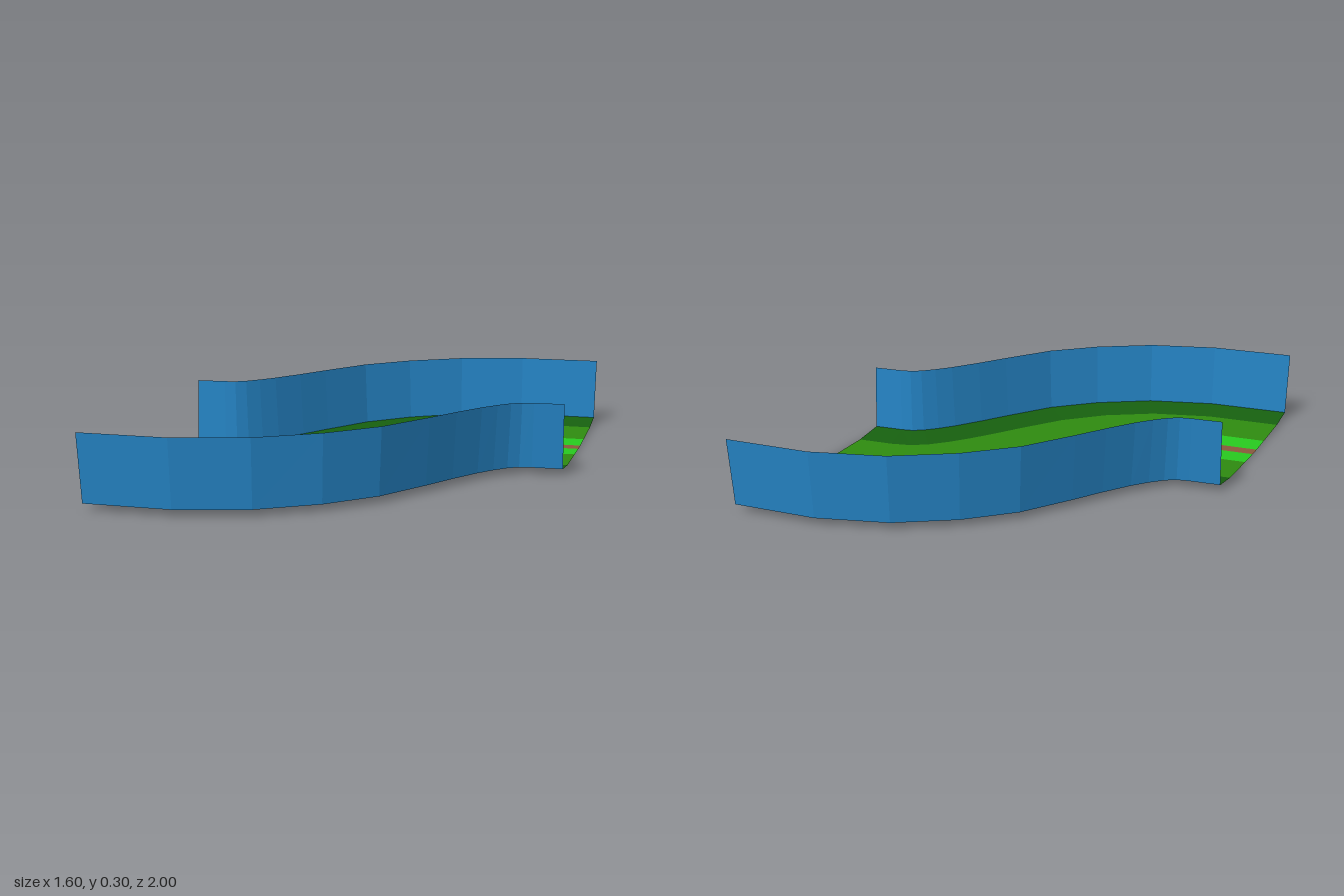
import * as THREE from 'three';

// Stations along the S-bend: centre x, z and back edge x, z.
// The front edge is the back edge turned half a circle about the origin.
const stations = [
  [-0.8, 0.5, -0.8, 0], [-0.57, 0.48, -0.68, -0.015], [-0.4, 0.43, -0.635, -0.025],
  [-0.27, 0.35, -0.595, -0.05], [-0.16, 0.23, -0.55, -0.095], [-0.075, 0.115, -0.5, -0.155],
  [0, 0, -0.425, -0.265],
  [0.075, -0.115, -0.35, -0.385], [0.16, -0.23, -0.22, -0.58], [0.27, -0.35, -0.05, -0.74],
  [0.4, -0.43, 0.17, -0.88], [0.57, -0.48, 0.45, -0.97], [0.8, -0.5, 0.8, -1],
];

// Point across the channel: t = -1 at the front edge, 0 at the centre, 1 at the back edge
function pointAt(i, t, y) {
  const [cx, cz, bx, bz] = stations[i];
  const opposite = stations[stations.length - 1 - i];
  const ex = t >= 0 ? bx : -opposite[2];
  const ez = t >= 0 ? bz : -opposite[3];
  const k = Math.abs(t);
  return [cx + (ex - cx) * k, y, cz + (ez - cz) * k];
}

// Strip swept along the bend between two profile points [t, y], t rising towards the back
function strip(name, color, a, b) {
  const positions = [];
  const index = [];
  for (let i = 0; i < stations.length; i++) {
    positions.push(...pointAt(i, ...a), ...pointAt(i, ...b));
    if (i > 0) {
      const p = 2 * (i - 1);
      index.push(p, p + 2, p + 1, p + 1, p + 2, p + 3);
    }
  }
  const geometry = new THREE.BufferGeometry();
  geometry.setAttribute('position', new THREE.Float32BufferAttribute(positions, 3));
  geometry.setIndex(index);
  geometry.computeVertexNormals();
  const material = new THREE.MeshStandardMaterial({
    color, side: THREE.DoubleSide, flatShading: true,
  });
  const mesh = new THREE.Mesh(geometry, material);
  mesh.name = name;
  return mesh;
}

export function createModel() {
  const group = new THREE.Group();
  group.name = 'curvedChannel';

  // Central path
  group.add(strip('path', 0x8a5a3c, [-0.06, 0], [0.06, 0]));

  // Grass bands and side walls, rising outwards on both sides
  const bands = [
    ['innerGrass', 0x28cc1f, [0.06, 0], [0.28, 0.003]],
    ['middleGrass', 0x2f8c10, [0.28, 0.003], [0.7, 0.01]],
    ['outerGrass', 0x17600f, [0.7, 0.01], [0.965, 0.028]],
    ['wall', 0x2584c5, [0.965, 0.028], [1, 0.3]],
  ];
  for (const [name, color, inner, outer] of bands) {
    group.add(strip(name + 'Back', color, inner, outer));
    group.add(strip(name + 'Front', color, [-outer[0], outer[1]], [-inner[0], inner[1]]));
  }
  return group;
}
